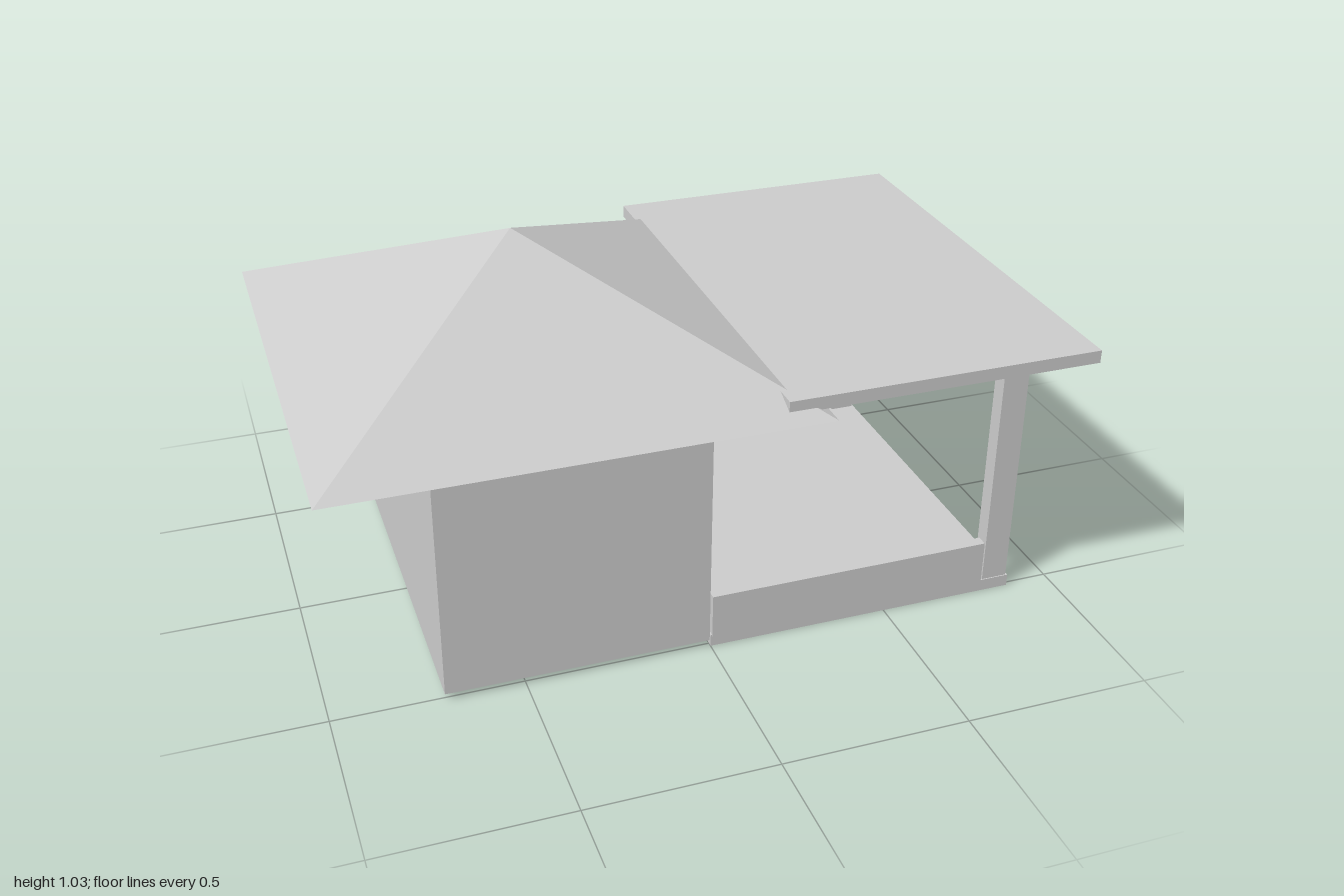
import * as THREE from 'three';

const material = new THREE.MeshStandardMaterial({ color: 0xcccccc, flatShading: true });

// Box given by its lower and upper limits on each axis
function block(name, [x0, x1], [y0, y1], [z0, z1]) {
  const mesh = new THREE.Mesh(new THREE.BoxGeometry(x1 - x0, y1 - y0, z1 - z0), material);
  mesh.position.set((x0 + x1) / 2, (y0 + y1) / 2, (z0 + z1) / 2);
  mesh.name = name;
  return mesh;
}

// Four-sided roof with a closed underside
function pyramid(name, [x0, x1], [y0, y1], [z0, z1]) {
  const geometry = new THREE.ConeGeometry(Math.SQRT1_2, 1, 4, 1).toNonIndexed();
  geometry.rotateY(Math.PI / 4);
  geometry.scale(x1 - x0, y1 - y0, z1 - z0);
  geometry.computeVertexNormals();
  const mesh = new THREE.Mesh(geometry, material);
  mesh.position.set((x0 + x1) / 2, (y0 + y1) / 2, (z0 + z1) / 2);
  mesh.name = name;
  return mesh;
}

export function createModel() {
  const model = new THREE.Group();
  model.name = 'houseWithPorch';

  // House body and its hipped roof
  model.add(block('houseBody', [-0.71, -0.002], [0.018, 0.72], [-0.555, 0.51]));
  model.add(pyramid('houseRoof', [-1, 0.257], [0.718, 1.035], [-0.66, 0.668]));

  // Porch floor and flat roof
  model.add(block('porchFloor', [0, 0.875], [0, 0.034], [-0.551, 0.512]));
  model.add(block('porchRoof', [0.145, 0.997], [0.731, 0.766], [-0.674, 0.626]));

  // Posts and low walls on the front and back edges of the porch
  const middle = -0.021;
  for (const [label, side] of [['front', 1], ['back', -1]]) {
    const span = (inner, outer) =>
      [middle + side * inner, middle + side * outer].sort((a, b) => a - b);
    model.add(block(label + 'Post', [0.798, 0.87], [0.03, 0.735], span(0.485, 0.53)));
    model.add(block(label + 'LowWall', [0.004, 0.792], [0.03, 0.155], span(0.503, 0.534)));
  }
  return model;
}
